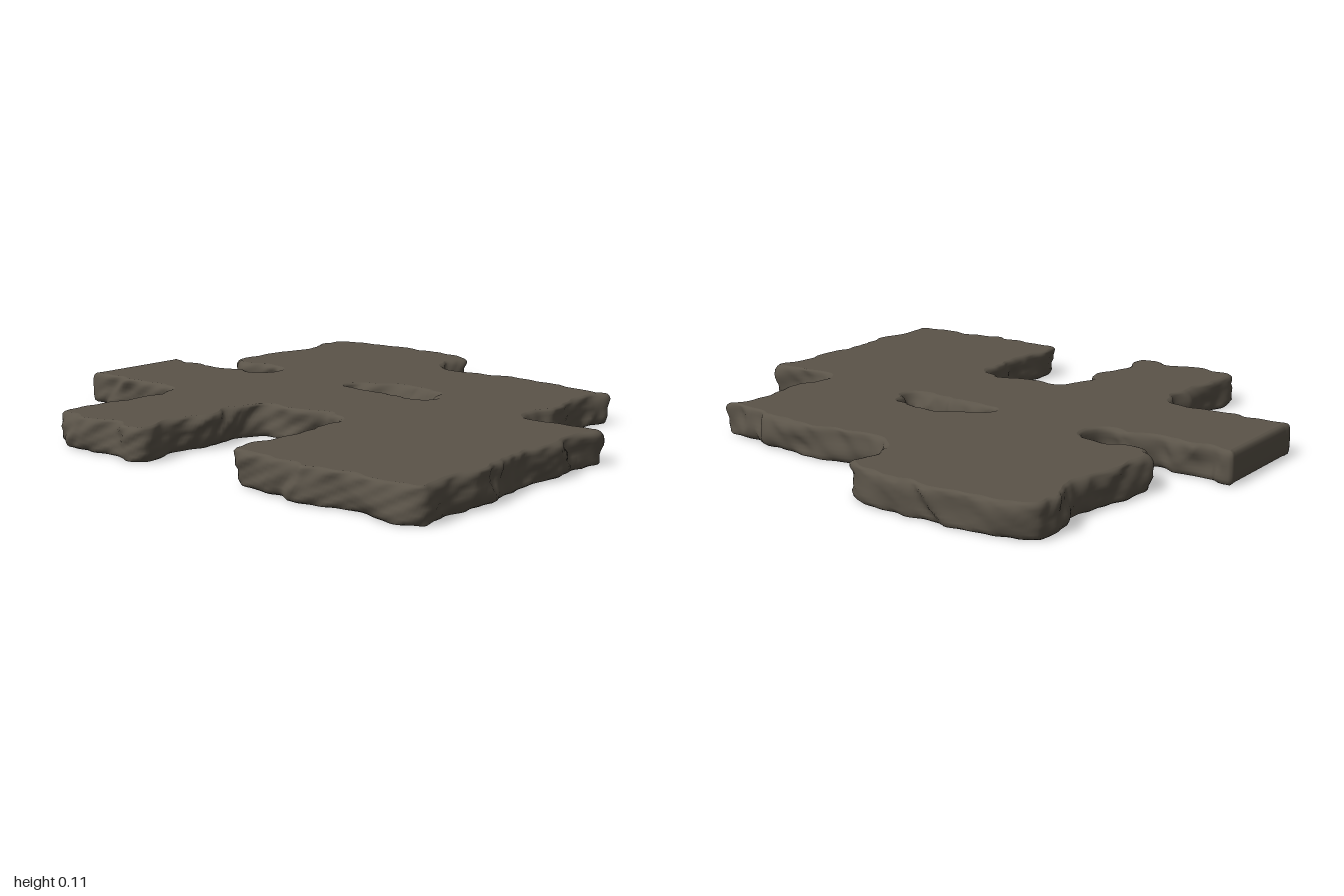
import * as THREE from 'three';

// plan outline of the slab as x, z pairs, clockwise seen from above
const OUTLINE = [
  -1, -.085, -.97, -.088, -.88, -.065, -.79, -.08, -.72, -.06, -.62, -.1, -.56, -.075, -.52, -.09, -.505, -.17, -.56, -.215,
  -.63, -.215, -.68, -.19, -.77, -.2, -.81, -.25, -.81, -.45, -.775, -.6, -.81, -.76, -.8, -.85, -.65, -.9, -.37, -.905,
  -.19, -.895, -.105, -.84, -.105, -.73, -.07, -.655, .03, -.605, .2, -.63, .48, -.625, .57, -.595, .7, -.58, .675, -.51,
  .7, -.26, .69, -.09, .72, -.065, .9, -.06, .98, -.06, .97, .1, .985, .17, .965, .36, .995, .6, .98, .72,
  .985, .85, .87, .885, .72, .875, .58, .9, .4, .875, .29, .87, .265, .81, .285, .6, .265, .5, .26, .36,
  .13, .315, .03, .345, -.08, .355, -.12, .44, -.1, .57, -.125, .7, -.115, .86, -.17, .89, -.26, .865, -.38, .895,
  -.535, .845, -.53, .65, -.535, .38, -.62, .345, -.72, .35, -.8, .338, -.97, .343, -1, .338, -1, .3, -1, -.05,
];
// oval opening, same direction
const HOLE = [-.1, -.12, -.02, -.18, .05, -.21, .14, -.21, .24, -.17, .27, -.12, .26, -.085, .18, -.075, .1, -.09, 0, -.085, -.09, -.09];

// wall profile from underside lip to top edge: inset, height
const PROFILE = [[.06, .01], [.03, .006], [.012, .004], [.004, .01], [.001, .022], [0, .035], [0, .05], [0, .065], [0, .08], [.001, .095], [.004, .106], [.01, .112], [.018, .115]];

// craggy rock: broad dents, slanted ledges and fine chips on warped coordinates
function rough(x, y, z) {
  const u = x + .06 * Math.sin(11 * z + 14 * y), w = z + .06 * Math.sin(13 * x - 17 * y);
  return Math.sin(19 * u + 21 * y + 7 * w) * Math.sin(23 * w - 19 * y + 5 * u) * .6 +
    (1 - 2 * Math.abs(Math.sin(12 * u + 17 * y * Math.sin(5 * x + 4 * z) + 14 * w))) * .35 +
    Math.sin(47 * u - 57 * y + 33 * w + 1.7) * Math.sin(43 * w + 65 * y - 17 * u) * .35;
}

// evenly spaced outline samples with outward normals
function sampleLoop(flat, count, reverse) {
  const pts = [];
  for (let i = 0; i < flat.length; i += 2) pts.push(new THREE.Vector3(flat[i], 0, flat[i + 1]));
  if (reverse) pts.reverse();
  const p = new THREE.CatmullRomCurve3(pts, true, 'centripetal').getSpacedPoints(count).slice(0, count);
  return p.map((v, i) => {
    const a = p[(i + count - 2) % count], b = p[(i + 2) % count];
    const l = Math.hypot(b.x - a.x, b.z - a.z) || 1;
    return { x: v.x, z: v.z, nx: (b.z - a.z) / l, nz: -(b.x - a.x) / l };
  });
}

// one closed ring per profile entry, roughened along the normal; flare spreads the foot
function makeRings(loop, flare) {
  return PROFILE.map(([inset, y], j) => loop.map(s => {
    const calm = THREE.MathUtils.smoothstep(s.x, -1, -.92) * (j > 0 ? 1 : .4);
    const foot = flare * (1 - THREE.MathUtils.smoothstep(y, .02, .1));
    const d = foot - inset + (.015 * rough(s.x, y, s.z) - .002) * calm;
    return [s.x + s.nx * d, y, s.z + s.nz * d];
  }));
}

function buildGeometry(positions, index) {
  const g = new THREE.BufferGeometry();
  g.setAttribute('position', new THREE.Float32BufferAttribute(positions.flat(), 3));
  g.setIndex(index);
  g.computeVertexNormals();
  return g;
}

function wallGeometry(rings) {
  const n = rings[0].length, idx = [];
  for (let j = 0; j < rings.length - 1; j++)
    for (let i = 0; i < n; i++) {
      const a = j * n + i, b = j * n + (i + 1) % n;
      idx.push(a, a + n, b, b, a + n, b + n);
    }
  return buildGeometry(rings.flat(), idx);
}

// flat top between the outer ring and the hole ring
function topGeometry(outer, hole) {
  const flat = r => r.map(p => new THREE.Vector2(p[0], p[2]));
  const pts = [...outer, ...hole], idx = [];
  for (const [a, b, c] of THREE.ShapeUtils.triangulateShape(flat(outer), [flat(hole)])) {
    const [A, B, C] = [pts[a], pts[b], pts[c]];
    const ny = (B[2] - A[2]) * (C[0] - A[0]) - (B[0] - A[0]) * (C[2] - A[2]);
    if (ny > 0) idx.push(a, b, c); else idx.push(a, c, b);
  }
  return buildGeometry(pts, idx);
}

// lumpy underside with a seam around each square cell, levelling out to meet the wall lip
function undersideGeometry(samples) {
  const step = 1 / 60, nx = 120, nz = 109, pos = [], inside = [], idx = [];
  const pillow = t => Math.pow(Math.abs(Math.sin(Math.PI * t / .4)), .45);
  for (let k = 0; k <= nz; k++)
    for (let i = 0; i <= nx; i++) {
      const x = -1 + i * step, z = -.91 + k * step;
      let best = Infinity, near;
      for (const s of samples) {
        const d = (s.x - x) ** 2 + (s.z - z) ** 2;
        if (d < best) { best = d; near = s; }
      }
      const within = (near.x - x) * near.nx + (near.z - z) * near.nz > 0;
      const depth = within ? Math.sqrt(best) : 0;
      const seam = 1 - pillow(x + .13) * pillow(z + .06);
      const lump = .5 + .5 * Math.sin(21 * x + 6 * z + 1 + Math.sin(9 * z)) * Math.sin(23 * z - 7 * x + Math.sin(8 * x));
      pos.push([x, .011 + (.035 * seam + .026 * lump - .006) * THREE.MathUtils.smoothstep(depth, .035, .09), z]);
      inside.push(depth > .03);
    }
  for (let k = 0; k < nz; k++)
    for (let i = 0; i < nx; i++) {
      const a = k * (nx + 1) + i, b = a + 1, c = a + nx + 1, d = c + 1;
      if ([a, b, c, d].every(v => inside[v])) idx.push(a, b, c, b, d, c);
    }
  return buildGeometry(pos, idx);
}

export function createModel() {
  const group = new THREE.Group();
  group.name = 'stoneFloorSlab';
  const stone = new THREE.MeshStandardMaterial({ color: 0x5b5449 });
  const add = (name, geometry) => {
    const mesh = new THREE.Mesh(geometry, stone);
    mesh.name = name;
    group.add(mesh);
  };

  const outer = sampleLoop(OUTLINE, 800, false);
  const hole = sampleLoop(HOLE, 110, true);
  const outerRings = makeRings(outer, 0), holeRings = makeRings(hole, .02);

  add('outerWall', wallGeometry(outerRings));
  add('holeWall', wallGeometry(holeRings));
  add('topSurface', topGeometry(outerRings.at(-1), holeRings.at(-1)));
  add('underside', undersideGeometry([...outer, ...hole]));
  return group;
}
